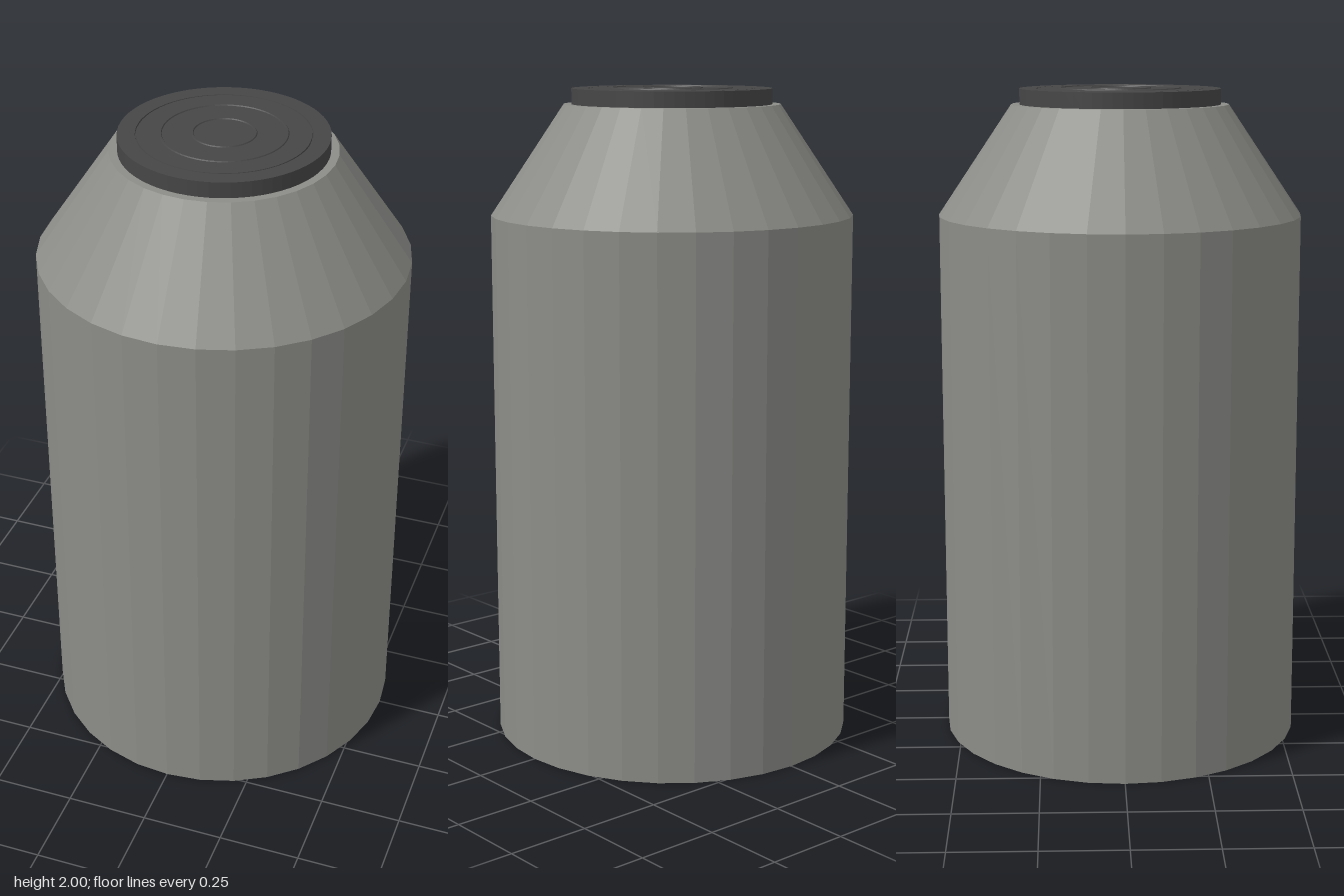
import * as THREE from 'three';

export function createModel() {
  const model = new THREE.Group();
  const shell = new THREE.MeshStandardMaterial({ color: 0x8c8d88, flatShading: true });
  shell.name = 'warm grey shell';
  const dark = new THREE.MeshStandardMaterial({ color: 0x464646, flatShading: true });
  dark.name = 'charcoal cap';

  // Revolve a [radius, y] profile, listed from bottom to top
  const addLathe = (name, profile, sides, material) => {
    const points = profile.map(([r, y]) => new THREE.Vector2(r, y));
    const mesh = new THREE.Mesh(new THREE.LatheGeometry(points, sides), material);
    mesh.name = name;
    model.add(mesh);
  };

  // Faceted body with a sloping shoulder and a flat rim
  addLathe('body', [[0, 0], [0.55, 0], [0.55, 1.62], [0.328, 1.95], [0, 1.95]], 32, shell);

  // Round cap with a fine groove near its edge
  addLathe('cap', [
    [0, 1.95], [0.303, 1.95], [0.303, 1.997], [0.252, 1.997],
    [0.251, 1.992], [0.249, 1.992], [0.248, 1.997], [0, 1.997],
  ], 64, dark);

  // Raised concentric rings on the cap
  for (const [name, r] of [['outerRing', 0.18], ['innerRing', 0.09]]) {
    addLathe(name, [[r + 0.004, 1.997], [r + 0.002, 2], [r - 0.002, 2], [r - 0.004, 1.997]], 64, dark);
  }
  return model;
}
